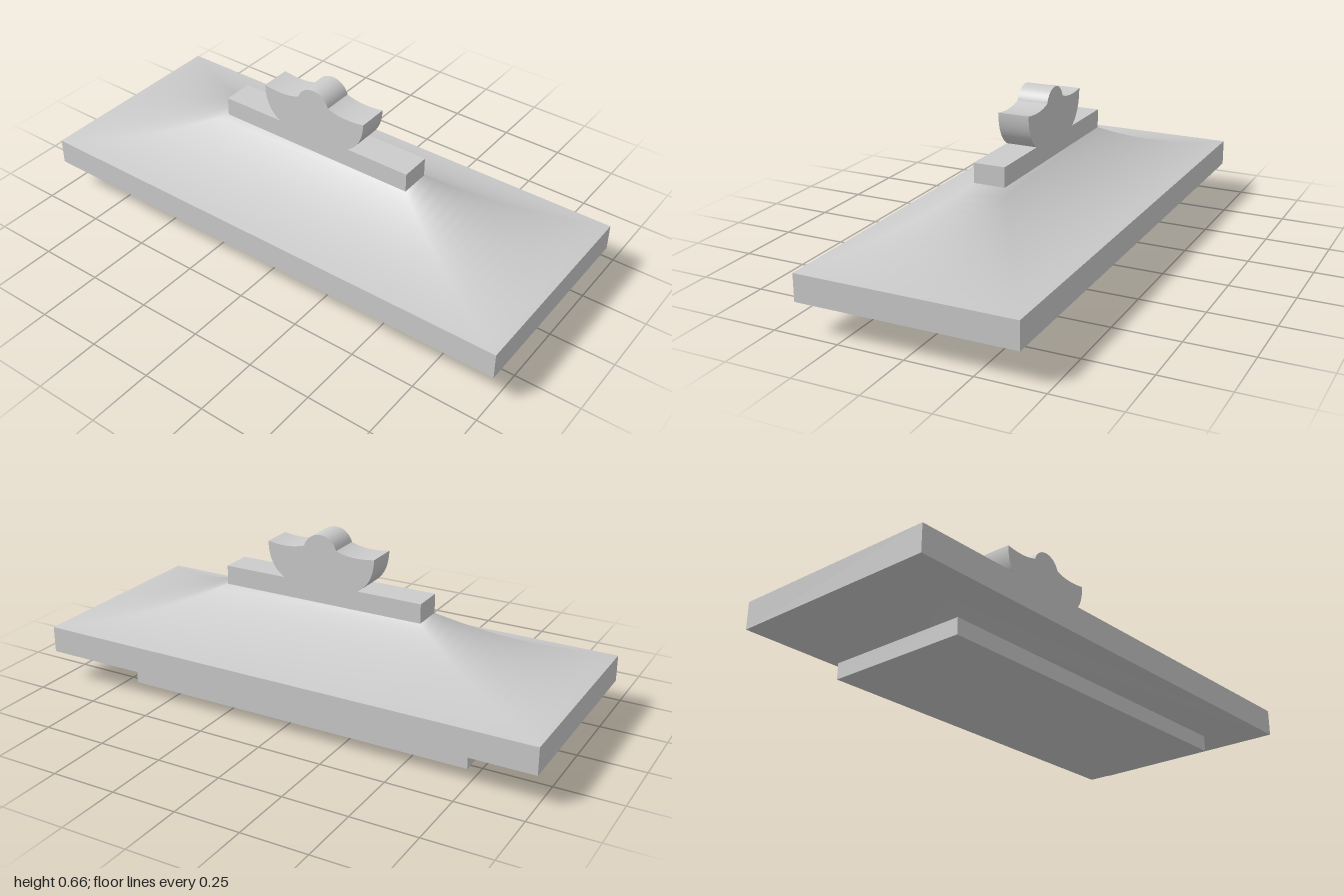
import * as THREE from 'three';

const material = new THREE.MeshStandardMaterial({ color: 0xcccccc, side: THREE.DoubleSide });

function add(group, name, geometry) {
  const mesh = new THREE.Mesh(geometry, material);
  mesh.name = name;
  group.add(mesh);
  return mesh;
}

// Box given by half width, half depth and its bottom and top heights
function slab(group, name, hx, hz, y0, y1) {
  add(group, name, new THREE.BoxGeometry(hx * 2, y1 - y0, hz * 2)).position.y = (y0 + y1) / 2;
}

// Skin between rectangular rings [halfX, halfZ, y], listed from bottom to top
function loft(rings) {
  const corners = [[1, 1], [1, -1], [-1, -1], [-1, 1]];
  const positions = [], index = [];
  rings.forEach(([hx, hz, y], r) => {
    corners.forEach(([sx, sz], i) => {
      positions.push(sx * hx, y, sz * hz);
      if (r === 0) return;
      const j = (i + 1) % 4, lo = (r - 1) * 4, up = r * 4;
      index.push(lo + i, lo + j, up + j, lo + i, up + j, up + i);
    });
  });
  const geometry = new THREE.BufferGeometry();
  geometry.setAttribute('position', new THREE.Float32BufferAttribute(positions, 3));
  geometry.setIndex(index);
  geometry.computeVertexNormals();
  return geometry;
}

export function createModel() {
  const group = new THREE.Group();
  group.name = 'hippedRoof';

  // Base plinth, sloping soffit and eaves band
  slab(group, 'base', 0.705, 0.28, 0, 0.06);
  add(group, 'soffit', loft([[0.705, 0.28, 0.06], [1, 0.41, 0.12]]));
  slab(group, 'eaves', 1, 0.41, 0.12, 0.222);

  // Concave roof slopes, steeper toward the ridge
  const rings = [];
  const steps = 16;
  for (let i = 0; i <= steps; i++) {
    const t = i / steps;
    const rise = 0.35 * t + 0.65 * t * t;
    rings.push([1 - 0.59 * t, 0.41 - 0.35 * t, 0.222 + 0.176 * rise]);
  }
  add(group, 'roofSlopes', loft(rings));

  // Ridge beam
  slab(group, 'ridge', 0.41, 0.06, 0.398, 0.472);

  // Crest: curled wings with a round knob in the middle
  const crest = new THREE.Shape();
  crest.moveTo(-0.155, 0.472);
  crest.lineTo(0.155, 0.472);
  crest.quadraticCurveTo(0.22, 0.51, 0.222, 0.604);
  crest.quadraticCurveTo(0.13, 0.588, 0.067, 0.612);
  crest.absarc(0, 0.592, 0.07, 0.29, Math.PI - 0.29, false);
  crest.quadraticCurveTo(-0.13, 0.588, -0.222, 0.604);
  crest.quadraticCurveTo(-0.22, 0.51, -0.155, 0.472);
  const crestGeometry = new THREE.ExtrudeGeometry(crest, { depth: 0.12, bevelEnabled: false, curveSegments: 20 });
  crestGeometry.translate(0, 0, -0.06);
  add(group, 'crest', crestGeometry);

  return group;
}
